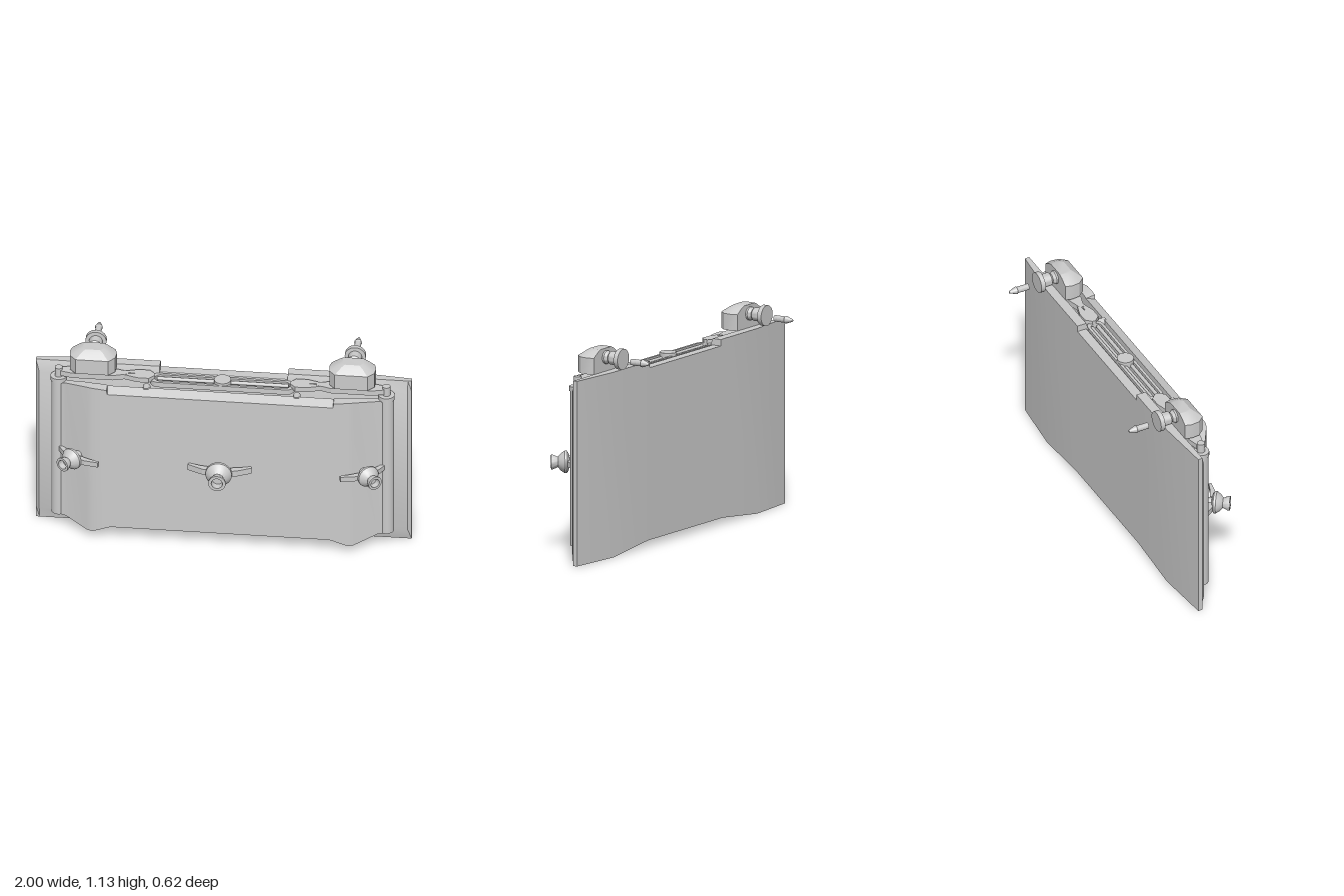
import * as THREE from 'three';
import { toCreasedNormals } from 'three/addons/utils/BufferGeometryUtils.js';

const material = new THREE.MeshStandardMaterial({ color: 0xcccccc, side: THREE.DoubleSide });
const V = (x, y, z) => new THREE.Vector3(x, y, z);

function add(parent, name, geometry, x = 0, y = 0, z = 0) {
  const mesh = new THREE.Mesh(geometry, material);
  mesh.name = name;
  mesh.position.set(x, y, z);
  parent.add(mesh);
  return mesh;
}

// Skin a row of closed rings and cap both ends
function loft(rings, crease = 0.5) {
  const pos = [];
  const n = rings[0].length;
  const tri = (...p) => p.forEach(v => pos.push(v.x, v.y, v.z));
  for (let i = 0; i < rings.length - 1; i++) {
    for (let j = 0; j < n; j++) {
      const k = (j + 1) % n;
      const [a, b, c, d] = [rings[i][j], rings[i][k], rings[i + 1][k], rings[i + 1][j]];
      tri(a, b, c);
      tri(a, c, d);
    }
  }
  const first = rings[0], last = rings[rings.length - 1];
  for (let j = 1; j < n - 1; j++) {
    tri(first[0], first[j + 1], first[j]);
    tri(last[0], last[j], last[j + 1]);
  }
  const g = new THREE.BufferGeometry();
  g.setAttribute('position', new THREE.Float32BufferAttribute(pos, 3));
  return toCreasedNormals(g, crease);
}

// Mirror half a list of stations (first value is x, outermost first)
const mirrorStations = half => [
  ...half.map(([x, ...rest]) => [-x, ...rest]),
  ...half.slice().reverse(),
];

// Revolve a profile about z
function turned(points, segments = 28) {
  const g = new THREE.LatheGeometry(points.map(p => new THREE.Vector2(...p)), segments);
  g.rotateX(Math.PI / 2);
  return toCreasedNormals(g, 0.6);
}

// Flat shape drawn in x,z, extruded downwards from y = 0
function plan(shape, height) {
  const g = new THREE.ExtrudeGeometry(shape, { depth: height, bevelEnabled: false, curveSegments: 10 });
  return g.rotateX(Math.PI / 2);
}
const polygon = pts => new THREE.Shape(pts.map(p => new THREE.Vector2(...p)));

function capsule(path, halfLength, radius, cz) {
  path.moveTo(-halfLength, cz - radius);
  path.lineTo(halfLength, cz - radius);
  path.absarc(halfLength, cz, radius, -Math.PI / 2, Math.PI / 2, false);
  path.lineTo(-halfLength, cz + radius);
  path.absarc(-halfLength, cz, radius, Math.PI / 2, Math.PI * 1.5, false);
  return path;
}

// Wing screw pointing to +z, its seat at z = 0
function wingScrew() {
  const screw = new THREE.Group();
  screw.name = 'wingScrew';
  add(screw, 'screwHub', turned([
    [0, -0.03], [0.028, -0.03], [0.028, 0.045], [0.055, 0.05], [0.07, 0.06], [0.07, 0.075],
    [0.052, 0.1], [0.032, 0.116], [0.046, 0.148], [0.046, 0.16], [0.03, 0.16], [0.028, 0.12], [0, 0.12],
  ]));
  for (const s of [-1, 1]) {
    const wing = polygon([[s * 0.03, 0.03], [s * 0.1, 0.02], [s * 0.165, 0.002],
      [s * 0.17, 0.018], [s * 0.09, 0.055], [s * 0.03, 0.065]]);
    add(screw, 'screwWing', plan(wing, 0.034), 0, 0.017);
  }
  return screw;
}

export function createModel() {
  const model = new THREE.Group();
  model.name = 'plateHolder';

  // Back plate: bevelled front, thinner ends, notched top and raised lower middle
  // x, back z, front z, bottom y, top y
  const plate = mirrorStations([
    [1, -0.057, -0.032, 0, 1],
    [0.98, -0.059, -0.012, 0, 1],
    [0.69, -0.085, -0.012, 0, 1],
    [0.36, -0.085, -0.012, 0.035, 1],
    [0.341, -0.085, -0.012, 0.035, 1],
    [0.34, -0.085, -0.012, 0.035, 0.965],
  ]).map(([x, zb, zf, y0, y1]) => [
    V(x, y0, zb), V(x, y1, zb), V(x, y1, -0.032),
    V(x, Math.min(y1, 0.935), zf), V(x, y0 + 0.07, zf), V(x, y0, -0.032),
  ]);
  add(model, 'backPlate', loft(plate, 0.3));

  // Front panel: wrapped sheet with flared corners
  // x, front z, back z, bottom y, top front y, top back y
  const panel = mirrorStations([
    [0.86, 0.06, 0.03, 0.085, 0.92, 0.92],
    [0.83, 0.068, 0.04, 0.083, 0.925, 0.925],
    [0.71, 0.142, 0.092, 0.052, 0.956, 0.956],
    [0.68, 0.152, 0.1, 0.05, 0.957, 0.957],
    [0.64, 0.155, 0.1, 0.065, 0.955, 0.955],
    [0.605, 0.155, 0.1, 0.078, 0.95, 0.95],
    [0.6, 0.155, 0.1, 0.08, 0.925, 0.947],
    [0.58, 0.155, 0.1, 0.085, 0.925, 0.947],
  ]).map(([x, zf, zb, y0, yf, yb]) => [V(x, y0, zb), V(x, yb, zb), V(x, yf, zf), V(x, y0, zf)]);
  add(model, 'frontPanel', loft(panel));

  // Slotted guide with sliding rods and central knob
  const guide = capsule(new THREE.Shape(), 0.34, 0.045, 0.025);
  guide.holes.push(capsule(new THREE.Path(), 0.33, 0.03, 0.025));
  add(model, 'guideFrame', plan(guide, 0.03), 0, 0.965);
  for (const z of [0.008, 0.042]) {
    const rod = new THREE.CylinderGeometry(0.01, 0.01, 0.7, 12).rotateZ(Math.PI / 2);
    add(model, 'guideRod', rod, 0, 0.95, z);
  }
  add(model, 'centreKnob', new THREE.CylinderGeometry(0.045, 0.045, 0.04, 28), 0, 0.96, 0.025);

  // Screw in the middle of the front
  const middleScrew = wingScrew();
  middleScrew.position.set(0, 0.505, 0.152);
  model.add(middleScrew);

  for (const s of [-1, 1]) {
    const side = new THREE.Group();
    side.name = s > 0 ? 'leftFittings' : 'rightFittings';
    model.add(side);

    // Corner post with cap and hinge pin
    add(side, 'cornerPost', new THREE.CylinderGeometry(0.04, 0.04, 0.84, 24), s * 0.872, 0.505, 0.025);
    add(side, 'postCap', new THREE.CylinderGeometry(0.044, 0.044, 0.026, 24), s * 0.872, 0.932, 0.025);
    add(side, 'hingePin', new THREE.CylinderGeometry(0.021, 0.021, 0.055, 16), s * 0.872, 0.97, 0.025);

    // Link arm from post to guide, with a pointed latch
    const arm = polygon([[s * 0.86, 0.005], [s * 0.8, -0.01], [s * 0.58, -0.01], [s * 0.5, 0.012],
      [s * 0.5, 0.036], [s * 0.58, 0.06], [s * 0.8, 0.06], [s * 0.86, 0.045]]);
    add(side, 'linkArm', plan(arm, 0.03), 0, 0.985);
    const latch = polygon([[s * 0.55, 0.015], [s * 0.45, -0.015], [s * 0.39, -0.015], [s * 0.36, 0.015],
      [s * 0.36, 0.035], [s * 0.39, 0.065], [s * 0.45, 0.065], [s * 0.55, 0.035], [s * 0.46, 0.025]]);
    add(side, 'latch', plan(latch, 0.028), 0, 0.984);
    const peg = new THREE.CylinderGeometry(0.02, 0.02, 0.05, 14).rotateX(Math.PI / 2);
    add(side, 'spacerPeg', peg, s * 0.4, 0.93, 0.085);

    // Clamp block with rounded front and tapered top: y, half width, front z
    const block = [[1, 0.125, 0.084], [1.088, 0.125, 0.084], [1.115, 0.08, 0.05], [1.125, 0.055, 0.035]]
      .map(([y, w, zf]) => [
        V(-w * 0.92, y, -0.035), V(-w, y, 0.0), V(-w * 0.96, y, zf * 0.55), V(-w * 0.7, y, zf),
        V(w * 0.7, y, zf), V(w * 0.96, y, zf * 0.55), V(w, y, 0), V(w * 0.92, y, -0.035),
      ]);
    add(side, 'clampBlock', loft(block, 0.4), s * 0.69);
    add(side, 'clampFoot', new THREE.BoxGeometry(0.1, 0.03, 0.05), s * 0.69, 0.99, 0.02);

    // Thumb knob behind the block, and a separate pointed pin
    add(side, 'thumbKnob', turned([
      [0, -0.146], [0.056, -0.146], [0.056, -0.121], [0.036, -0.12], [0.036, -0.072],
      [0.024, -0.06], [0.036, -0.045], [0.036, -0.03], [0, -0.03],
    ].reverse().map(([r, z]) => [r, z])), s * 0.69, 1.076, 0);
    add(side, 'pointedPin', turned([
      [0, -0.312], [0.006, -0.31], [0.021, -0.268], [0.017, -0.262], [0.017, -0.198], [0, -0.198],
    ], 20), s * 0.69, 1.068, 0);

    // Screw on the slanted corner of the panel
    const screw = wingScrew();
    screw.position.set(s * 0.755, 0.505, 0.108);
    screw.rotation.y = s * 0.61;
    screw.scale.setScalar(0.85);
    side.add(screw);
  }
  return model;
}
